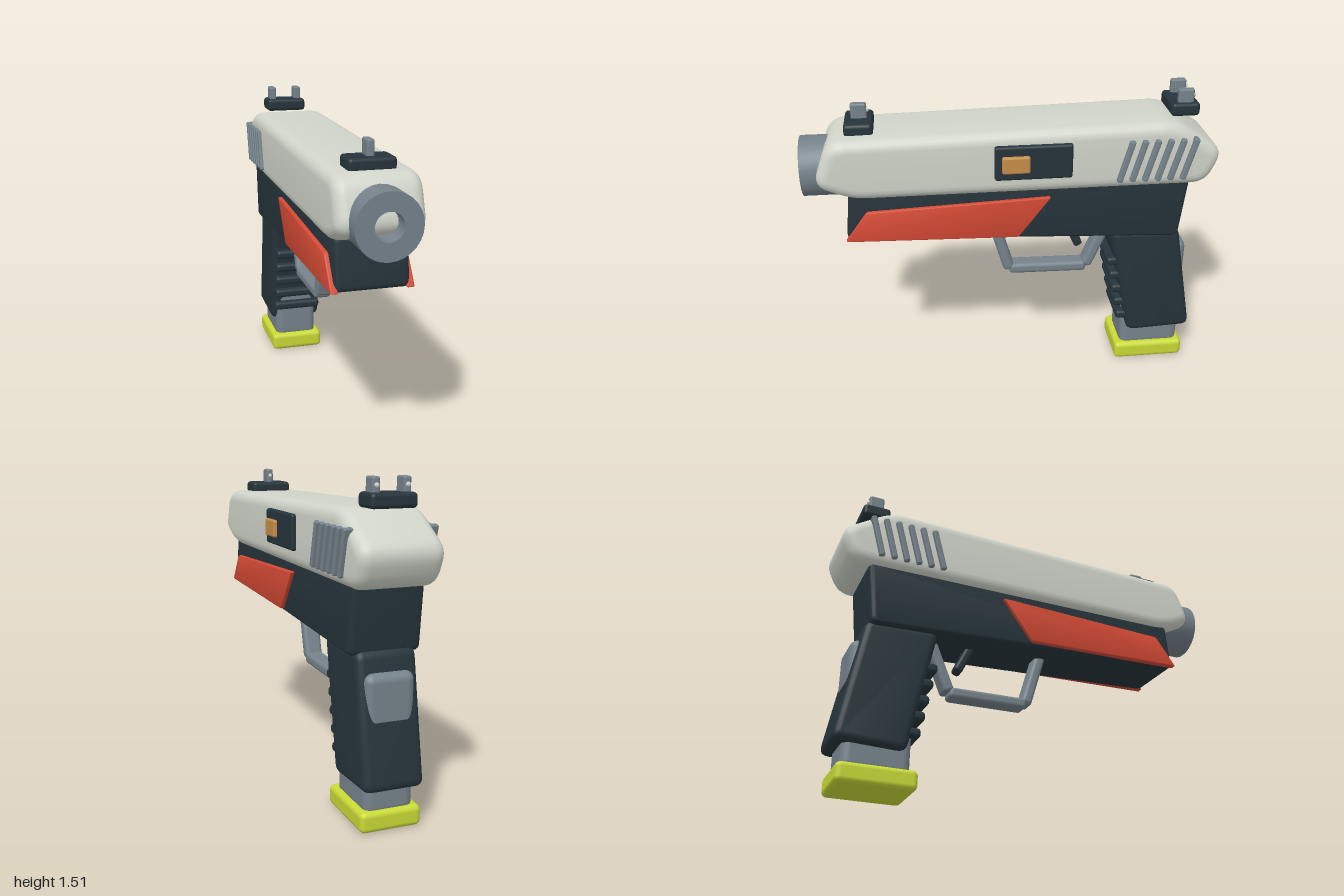
import * as THREE from 'three';
import { toCreasedNormals } from 'three/addons/utils/BufferGeometryUtils.js';
import { RoundedBoxGeometry } from 'three/addons/geometries/RoundedBoxGeometry.js';

const material = (name, color) => {
  const m = new THREE.MeshStandardMaterial({ color });
  m.name = name;
  return m;
};

// Polygon in the z-y plane whose corners are softened by quadratic curves
function roundedShape(points, trim) {
  const shape = new THREE.Shape();
  const corners = points.map(([z, y]) => new THREE.Vector2(z, y));
  corners.forEach((p, i) => {
    const prev = corners[(i + corners.length - 1) % corners.length];
    const next = corners[(i + 1) % corners.length];
    const a = p.clone().add(prev.clone().sub(p).setLength(trim));
    const b = p.clone().add(next.clone().sub(p).setLength(trim));
    if (i === 0) shape.moveTo(a.x, a.y);
    else shape.lineTo(a.x, a.y);
    shape.quadraticCurveTo(p.x, p.y, b.x, b.y);
  });
  shape.closePath();
  return shape;
}

// Side profile given as [z, y] points, extruded across x with soft edges
function slab(points, width, bevel, trim) {
  const geometry = new THREE.ExtrudeGeometry(roundedShape(points, trim), {
    depth: width - 2 * bevel, curveSegments: 6,
    bevelEnabled: true, bevelThickness: bevel, bevelSize: bevel, bevelOffset: -bevel, bevelSegments: 5,
  });
  geometry.translate(0, 0, bevel - width / 2);
  geometry.rotateY(-Math.PI / 2);
  return toCreasedNormals(geometry, 0.6);
}

export function createModel() {
  const shell = material('pale shell', 0xd0d4c9);
  const dark = material('dark slate', 0x26343b);
  const steel = material('steel grey', 0x76828b);
  const red = material('red', 0xd64a35);
  const lime = material('lime', 0xc8d936);
  const gold = material('gold', 0xc48d48);

  const model = new THREE.Group();
  model.name = 'toyBlaster';
  const body = new THREE.Group();
  body.name = 'body';
  body.position.x = -0.012;
  model.add(body);

  const add = (name, geometry, mat, x = 0, y = 0, z = 0) => {
    const mesh = new THREE.Mesh(geometry, mat);
    mesh.name = name;
    mesh.position.set(x, y, z);
    body.add(mesh);
    return mesh;
  };
  const box = (name, mat, [w, h, d], [x, y, z], radius) =>
    add(name, new RoundedBoxGeometry(w, h, d, 3, radius), mat, x, y, z);
  // Rounded bar running between two [z, y] points
  const bar = (name, mat, [z1, y1], [z2, y2], width, thick, radius, x = 0) => {
    const length = Math.hypot(z2 - z1, y2 - y1);
    const mesh = box(name, mat, [width, length, thick], [x, (y1 + y2) / 2, (z1 + z2) / 2], radius);
    mesh.rotation.x = Math.atan2(z2 - z1, y2 - y1);
    return mesh;
  };

  // Upper slide
  add('slide', slab([[0.86, 1.352], [-0.77, 1.382], [-1.01, 1.225], [-0.935, 1.055],
    [0.765, 1.055], [0.945, 1.13]], 0.39, 0.055, 0.075), shell);

  // Hollow barrel
  const ring = new THREE.Shape().absarc(0, 0, 0.145, 0, Math.PI * 2);
  ring.holes.push(new THREE.Path().absarc(0, 0, 0.063, 0, Math.PI * 2, true));
  const barrel = new THREE.ExtrudeGeometry(ring, { depth: 0.26, bevelEnabled: false, curveSegments: 14 });
  add('barrel', toCreasedNormals(barrel, 0.6), steel, 0, 1.17, 0.74);

  // Lower frame and grip
  add('frame', slab([[0.785, 1.09], [-0.86, 1.09], [-0.825, 0.762], [0.81, 0.84]], 0.336, 0.025, 0.032), dark);
  add('grip', slab([[-0.485, 0.79], [-0.84, 0.79], [-0.95, 0.19], [-0.61, 0.175]], 0.284, 0.035, 0.045), dark);
  for (let i = 0; i < 5; i++) {
    box('gripRib', dark, [0.26, 0.047, 0.075], [0, 0.607 - i * 0.083, -0.518 - i * 0.0163], 0.018);
  }

  // Upright magazine inside the raked grip, and its foot
  box('magazine', steel, [0.232, 0.63, 0.315], [0, 0.38, -0.738], 0.04);
  box('magazineFoot', lime, [0.288, 0.095, 0.368], [0, 0.0475, -0.735], 0.025);

  // Trigger and guard
  bar('guardFront', steel, [0.095, 0.83], [0.012, 0.545], 0.09, 0.055, 0.02);
  bar('guardBottom', steel, [0.012, 0.547], [-0.39, 0.54], 0.09, 0.056, 0.02);
  bar('guardRear', steel, [-0.5, 0.81], [-0.388, 0.542], 0.09, 0.055, 0.02);
  bar('trigger', dark, [-0.27, 0.83], [-0.35, 0.66], 0.07, 0.043, 0.015);

  // Side panels and slide grooves, mirrored
  const panel = slab([[0.705, 0.992], [-0.175, 1.027], [-0.018, 0.818], [0.815, 0.84]], 0.036, 0.008, 0.012);
  for (const side of [1, -1]) {
    add('sidePanel', panel, red, side * 0.17);
    for (let i = 0; i < 6; i++) {
      const z = -0.497 - i * 0.0615;
      bar('slideRidge', steel, [z, 1.1], [z - 0.056, 1.308], 0.045, 0.028, 0.008, side * 0.192);
    }
  }

  // Port on the left side
  box('portPlate', dark, [0.04, 0.17, 0.368], [0.198, 1.225, -0.085], 0.012);
  box('portButton', gold, [0.04, 0.084, 0.132], [0.216, 1.222, 0], 0.01);

  // Sights with small dots on their rear faces
  const post = (name, x, y, z) => {
    box(name, steel, [0.035, 0.1, 0.075], [x, y, z], 0.01);
    add('sightDot', new THREE.SphereGeometry(0.011, 12, 8), shell, x, y + 0.015, z - 0.037);
  };
  box('frontSightBase', dark, [0.212, 0.062, 0.135], [0, 1.373, 0.717], 0.018);
  post('frontSightPost', 0, 1.424, 0.714);
  box('rearSightBase', dark, [0.212, 0.065, 0.138], [0, 1.412, -0.823], 0.018);
  for (const side of [1, -1]) post('rearSightPost', side * 0.07, 1.459, -0.825);

  return model;
}
